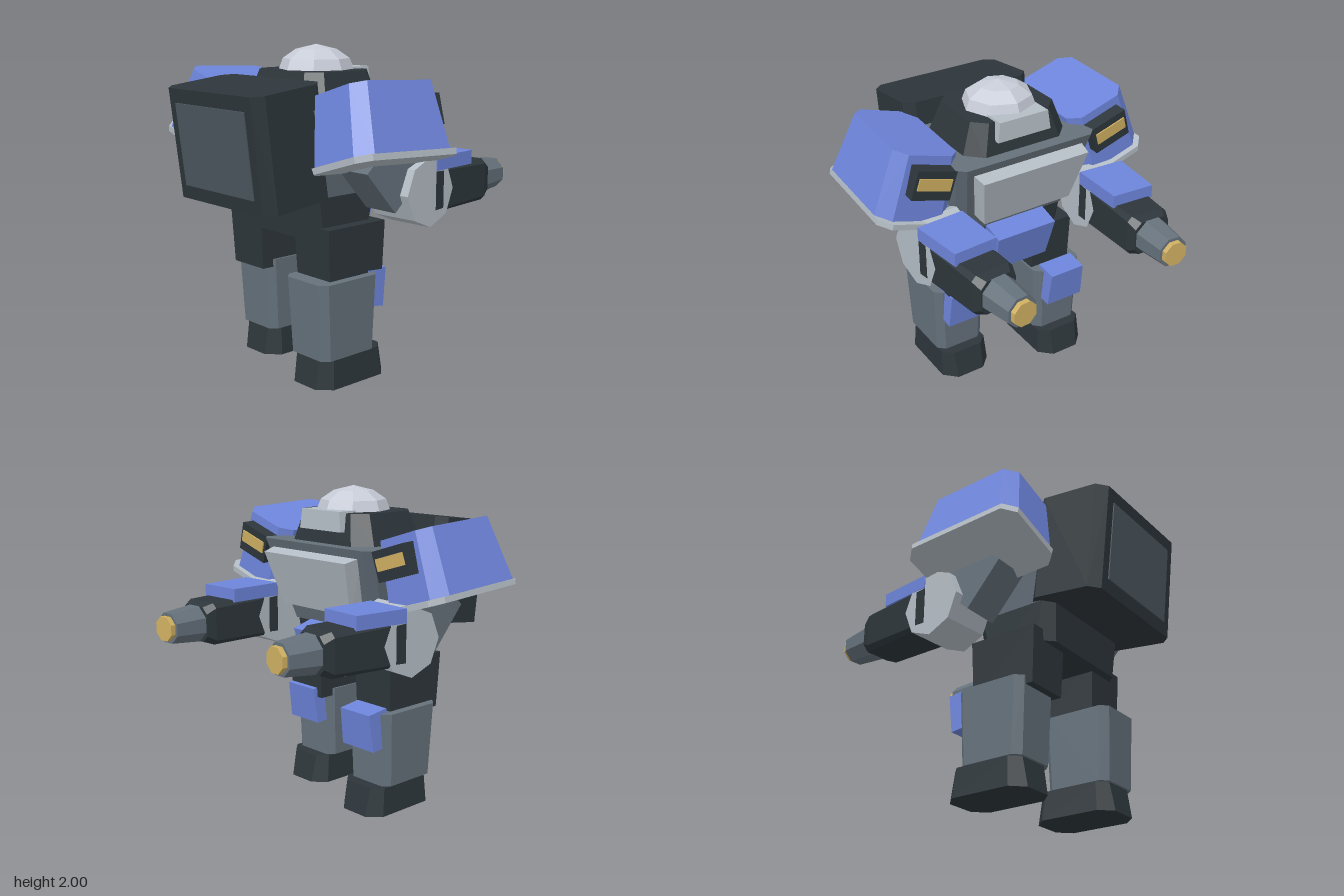
import * as THREE from 'three';
import { ConvexGeometry } from 'three/addons/geometries/ConvexGeometry.js';

const paint = (name, color) => {
  const m = new THREE.MeshStandardMaterial();
  m.color.set(color);
  m.name = name;
  return m;
};

// Points of a rectangle [x0, x1, z0, z1, chamfer] at height y
function section(y, [x0, x1, z0, z1, c = 0]) {
  const pts = [];
  for (const [x, sx] of [[x0, 1], [x1, -1]]) {
    for (const [z, sz] of [[z0, 1], [z1, -1]]) {
      pts.push(new THREE.Vector3(x + sx * c, y, z));
      if (c) pts.push(new THREE.Vector3(x, y, z + sz * c));
    }
  }
  return pts;
}

// Convex block through stacked sections: y, rect, y, rect, ...
function block(...args) {
  const pts = [];
  for (let i = 0; i < args.length; i += 2) pts.push(...section(args[i], args[i + 1]));
  return new ConvexGeometry(pts);
}

const box = (w, h, d) => new THREE.BoxGeometry(w, h, d);

// Eight-sided tapered barrel along x, from x0 to x1
function barrel(r0, r1, x0, x1) {
  const g = new THREE.CylinderGeometry(r1, r0, x1 - x0, 8, 1, false, Math.PI / 8).toNonIndexed();
  g.rotateZ(-Math.PI / 2).translate((x0 + x1) / 2, 0, 0);
  g.computeVertexNormals();
  return g;
}

export function createModel() {
  const blue = paint('blue armour', 0x6d84da);
  const dark = paint('dark metal', 0x2d363b);
  const grey = paint('steel grey', 0x65717b);
  const light = paint('light grey', 0xb4bdc5);
  const gold = paint('gold', 0xd0b062);
  const silver = paint('dome silver', 0xc6cbd6);
  const panel = paint('panel grey', 0x4e5861);

  const model = new THREE.Group();
  const add = (parent, name, geometry, material, x = 0, y = 0, z = 0) => {
    const mesh = new THREE.Mesh(geometry, material);
    mesh.name = name;
    mesh.position.set(x, y, z);
    parent.add(mesh);
    return mesh;
  };
  const group = (name, x, y, z) => {
    const g = new THREE.Group();
    g.name = name;
    g.position.set(x, y, z);
    model.add(g);
    return g;
  };

  // Body
  add(model, 'torso', block(1.13, [-0.51, 0.04, -0.4, 0.4, 0.05], 1.66, [-0.56, 0.22, -0.49, 0.49, 0.05]), grey);
  add(model, 'pelvis', block(0.89, [-0.505, 0, -0.395, 0.395, 0.08], 1.16, [-0.525, 0.035, -0.402, 0.402, 0.06]), dark);
  const chest = [];
  for (const s of [-1, 1]) {
    for (const [x, y, z] of [[0.29, 1.585, 0.37], [0.185, 1.25, 0.31], [0.17, 1.615, 0.39], [0.07, 1.27, 0.32]]) {
      chest.push(new THREE.Vector3(x, y, s * z));
    }
  }
  add(model, 'chestPlate', new ConvexGeometry(chest), light);
  const guard = block(-0.135, [-0.1, 0.1, -0.19, 0.19], 0.135, [-0.1, 0.1, -0.21, 0.21]);
  add(model, 'hipGuard', guard, blue, 0.055, 0.995, 0).rotation.z = -0.27;

  // Collar, dome and visor
  add(model, 'collar', block(1.64, [-0.48, 0.14, -0.365, 0.365, 0.1], 1.85, [-0.41, 0.09, -0.29, 0.29, 0.08]), dark);
  const profile = [[0.23, 1.85], [0.205, 1.915], [0.125, 1.97], [0, 2]].map(p => new THREE.Vector2(...p));
  const dome = new THREE.LatheGeometry(profile, 8).toNonIndexed();
  dome.computeVertexNormals();
  add(model, 'dome', dome, silver, -0.135, 0, 0);
  add(model, 'visor', block(1.74, [-0.05, 0.15, -0.185, 0.185], 1.862, [-0.05, 0.145, -0.168, 0.168]), light);

  // Backpack
  const pack = group('backpack', -0.669, 1.451, 0);
  pack.rotation.z = 0.12;
  add(pack, 'packBody', block(-0.335, [-0.242, 0.242, -0.45, 0.45, 0.06], 0.335, [-0.242, 0.242, -0.45, 0.45, 0.06]), dark);
  add(pack, 'packPanel', box(0.008, 0.5, 0.66), panel, -0.245, 0, 0);

  for (const s of [-1, 1]) {
    const side = s > 0 ? 'near' : 'far';

    // Leg: the far one steps ahead
    const step = s > 0 ? 0 : 0.15;
    add(model, side + 'Thigh', block(0.6, [-0.435, -0.012, -0.145, 0.145], 0.96, [-0.455, 0.0, -0.155, 0.155]), dark, 0, 0, s * 0.315);
    const leg = group(side + 'Leg', step, 0, s * 0.336);
    add(leg, 'foot', block(0, [-0.53, 0.02, -0.175, 0.175, 0.08], 0.18, [-0.5, -0.02, -0.163, 0.163, 0.06]), dark);
    add(leg, 'shin', block(0.18, [-0.515, -0.09, -0.168, 0.168, 0.045], 0.65, [-0.54, -0.075, -0.18, 0.18, 0.045]), grey);
    const pad = block(-0.12, [-0.075, 0.075, -0.135, 0.135], 0.12, [-0.075, 0.075, -0.125, 0.125]);
    add(leg, 'kneePad', pad, blue, -0.068, 0.55, 0).rotation.z = -0.13;

    // Shoulder pad, raised on the outside
    const shoulder = group(side + 'Shoulder', -0.262, 1.389, s * 0.713);
    shoulder.rotation.set(-0.3 * s, 0, -0.05);
    add(shoulder, 'shoulderPad', block(0, [-0.372, 0.372, -0.243, 0.243, 0.08], 0.4, [-0.3, 0.335, -0.213, 0.213, 0.07]), blue);
    add(shoulder, 'shoulderTrim', block(-0.036, [-0.378, 0.41, -0.243, 0.243, 0.07], 0, [-0.382, 0.41, -0.247, 0.247, 0.07]), light);
    add(shoulder, 'lampHousing', box(0.16, 0.185, 0.26), dark, 0.345, 0.254, -s * 0.015);
    add(shoulder, 'lamp', box(0.009, 0.075, 0.22), gold, 0.429, 0.262, -s * 0.015);

    // Upper arm, elbow drum and gun
    add(model, side + 'UpperArm', box(0.34, 0.32, 0.24), grey, -0.14, 1.29, s * 0.58).rotation.z = -0.84;
    const arm = group(side + 'Arm', 0.095, 1.155, s * 0.592);
    arm.rotation.y = 0.07 * s;
    const drum = new THREE.CylinderGeometry(0.212, 0.212, 0.304, 8).toNonIndexed();
    drum.rotateX(Math.PI / 2);
    drum.computeVertexNormals();
    add(arm, 'elbowDrum', drum, light);
    const forearm = block(0.05, [-0.135, 0.135, -0.154, 0.154, 0.02], 0.56, [-0.132, 0.132, -0.14, 0.14, 0.03],
      0.62, [-0.11, 0.11, -0.12, 0.12, 0.04]);
    add(arm, 'forearm', forearm.rotateZ(-Math.PI / 2), dark);
    const cover = block(0.11, [0.04, 0.205, -0.156, 0.156], 0.2, [0.04, 0.205, -0.153, 0.153]);
    const top = block(0.05, [-0.205, -0.12, -0.157, 0.157], 0.41, [-0.205, -0.12, -0.142, 0.142]);
    cover.dispose();
    add(arm, 'forearmCover', top.rotateZ(-Math.PI / 2), blue);
    add(arm, 'barrel', barrel(0.128, 0.1, 0.54, 0.83), grey);
    add(arm, 'muzzle', barrel(0.08, 0.08, 0.8, 0.862), gold);
  }
  return model;
}
